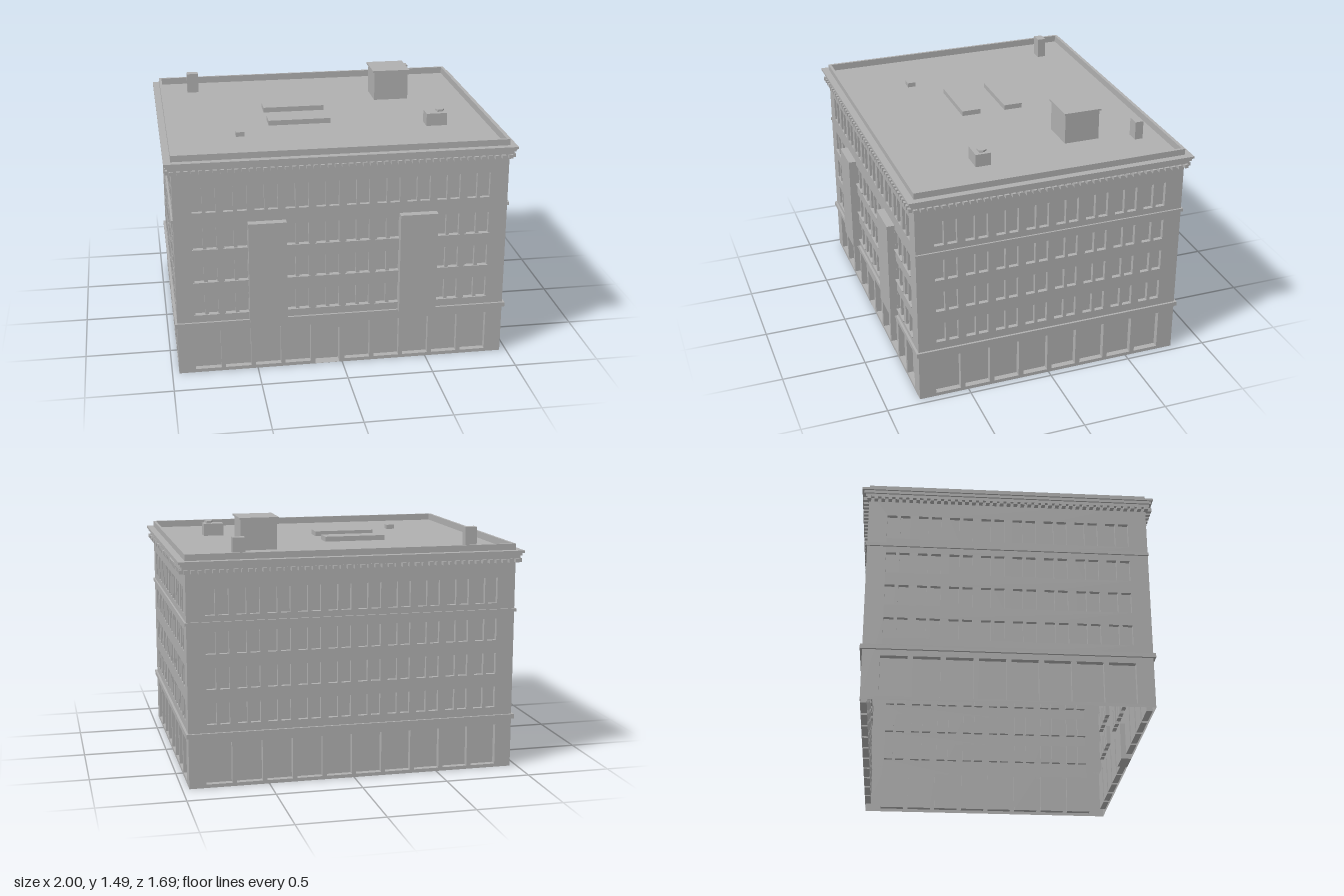
import * as THREE from 'three';
import { mergeGeometries } from 'three/addons/utils/BufferGeometryUtils.js';

const HX = 0.96, HZ = 0.8, CZ = -0.004; // half width, half depth, centre in z
const ROOF = 1.295, TOP = 1.336;

const stone = new THREE.MeshStandardMaterial({ color: 0xb0b0b0, side: THREE.DoubleSide });
stone.name = 'grey stone';

function add(parent, geometry, name) {
  const mesh = new THREE.Mesh(geometry, stone);
  mesh.name = name;
  parent.add(mesh);
  return mesh;
}

// Box given by its limits on each axis
function block(x0, x1, y0, y1, z0, z1) {
  return new THREE.BoxGeometry(x1 - x0, y1 - y0, z1 - z0)
    .translate((x0 + x1) / 2, (y0 + y1) / 2, (z0 + z1) / 2);
}

function rectPath(path, x0, x1, y0, y1) {
  path.moveTo(x0, y0);
  path.lineTo(x1, y0);
  path.lineTo(x1, y1);
  path.lineTo(x0, y1);
  path.closePath();
  return path;
}

// Hollow rectangular moulding around the building
function ring(y0, y1, out, inner = 0) {
  const a = HX + out, b = HZ + out;
  const shape = rectPath(new THREE.Shape(), -a, a, -b, b);
  shape.holes.push(rectPath(new THREE.Path(), -HX + inner, HX - inner, -HZ + inner, HZ - inner));
  return new THREE.ExtrudeGeometry(shape, { depth: y1 - y0, bevelEnabled: false })
    .rotateX(-Math.PI / 2).translate(0, y0, CZ);
}

// Recess behind an opening: a box without its outer face
function niche([x0, x1, y0, y1, depth]) {
  const g = block(x0, x1, y0, y1, -depth, 0);
  const index = Array.from(g.index.array);
  index.splice(24, 6);
  g.setIndex(index);
  g.clearGroups();
  return g;
}

const ROWS = [[0.368, 0.492], [0.57, 0.695], [0.772, 0.9], [0.992, 1.141]];

// One facade in its own frame: x along the wall, z outwards
function facade(name, half, bays, pitch, isFront) {
  const group = new THREE.Group();
  group.name = name;
  const openings = [], shops = [], sills = [];
  for (let i = 0; i < bays; i++) {
    const c = (i - (bays - 1) / 2) * pitch;
    if (isFront && i === 4) shops.push([c - 0.071, c + 0.071, 0.001, 0.228, 0.06]);
    else shops.push([c - 0.075, c + 0.075, 0.02, 0.26, 0.035]);
    ROWS.forEach(([y0, y1], row) => {
      const covered = isFront && row < 3 && (i === 2 || i === 7);
      if (covered) return;
      for (const s of [-1, 1]) {
        const w = c + s * 0.038;
        openings.push([w - 0.028, w + 0.028, y0, y1, 0.025]);
      }
      if (isFront && row < 3) sills.push(block(c - 0.073, c + 0.073, y0 - 0.006, y0, 0, 0.008));
    });
  }
  const shape = rectPath(new THREE.Shape(), -half, half, 0, ROOF + 0.003);
  for (const [x0, x1, y0, y1] of [...openings, ...shops]) {
    shape.holes.push(rectPath(new THREE.Path(), x0, x1, y0, y1));
  }
  add(group, new THREE.ShapeGeometry(shape), 'wall');
  add(group, mergeGeometries(openings.map(niche)), 'windows');
  add(group, mergeGeometries(shops.map(niche)), 'groundFloorOpenings');
  if (sills.length) add(group, mergeGeometries(sills), 'windowSills');

  // Dentils under the cornice
  const dentils = [];
  const n = Math.round(half * 2 / 0.04);
  for (let i = 0; i <= n; i++) {
    const x = -half + (i / n) * half * 2;
    dentils.push(block(x - 0.011, x + 0.011, 1.23, 1.252, 0, 0.034));
  }
  add(group, mergeGeometries(dentils), 'dentils');
  return group;
}

export function createModel() {
  const model = new THREE.Group();
  model.name = 'cornerBuilding';

  // Four facades
  const front = facade('frontFacade', HX, 10, 0.175, true);
  front.position.set(0, 0, CZ + HZ);
  const back = facade('backFacade', HX, 10, 0.175, false);
  back.position.set(0, 0, CZ - HZ);
  back.rotation.y = Math.PI;
  model.add(front, back);
  for (const s of [-1, 1]) {
    const side = facade(s > 0 ? 'leftFacade' : 'rightFacade', HZ, 8, 0.179, false);
    side.position.set(s * HX, 0, CZ);
    side.rotation.y = s * Math.PI / 2;
    model.add(side);
  }

  // Blank projecting panels on the front
  for (const s of [-1, 1]) {
    const c = s * 0.436;
    add(model, block(c - 0.109, c + 0.109, 0.32, 0.925, CZ + HZ, 0.842), 'projectingBay');
  }

  // Mouldings, cornice and parapet
  add(model, ring(0.295, 0.321, 0.013), 'lowerBelt');
  const zf = CZ + HZ + 0.004, zb = CZ - HZ;
  add(model, mergeGeometries([
    block(HX, HX + 0.01, 0.938, 0.957, zb - 0.01, zf),
    block(-HX - 0.01, -HX, 0.938, 0.957, zb - 0.01, zf),
    block(-HX, HX, 0.938, 0.957, zb - 0.01, zb),
  ]), 'upperBelt');
  add(model, ring(1.252, 1.27, 0.02), 'corniceLower');
  add(model, ring(1.27, 1.287, 0.03), 'corniceMiddle');
  add(model, ring(1.287, 1.3, 0.04), 'corniceUpper');
  add(model, ring(ROOF, TOP, 0, 0.016), 'parapet');

  // Roof deck
  add(model, new THREE.PlaneGeometry(HX * 2, HZ * 2).rotateX(-Math.PI / 2)
    .translate(0, ROOF, CZ), 'roof');

  // Rooftop structures
  add(model, block(0.373, 0.587, ROOF, 1.475, -0.435, -0.225), 'stairHouse');
  add(model, block(0.362, 0.595, 1.475, 1.485, -0.445, -0.216), 'stairHouseCap');
  add(model, block(-0.786, -0.715, ROOF, 1.417, -0.623, -0.572), 'chimney');
  add(model, block(0.602, 0.674, ROOF, 1.404, -0.677, -0.628), 'chimney');
  add(model, block(-0.35, 0.022, ROOF, 1.325, -0.175, -0.062), 'skylight');
  add(model, block(-0.35, 0.022, ROOF, 1.325, 0.092, 0.207), 'skylight');
  add(model, block(-0.563, -0.513, ROOF, 1.322, 0.342, 0.391), 'roofVent');
  add(model, block(0.576, 0.7, ROOF, 1.37, 0.267, 0.358), 'airUnit');
  const cap = new THREE.CylinderGeometry(0.027, 0.027, 0.009, 6).toNonIndexed();
  cap.computeVertexNormals();
  add(model, cap.rotateY(Math.PI / 6).translate(0.664, 1.381, 0.311), 'airUnitCap');
  add(model, block(0.648, 0.68, 1.37, 1.378, 0.295, 0.327), 'airUnitNeck');

  return model;
}
